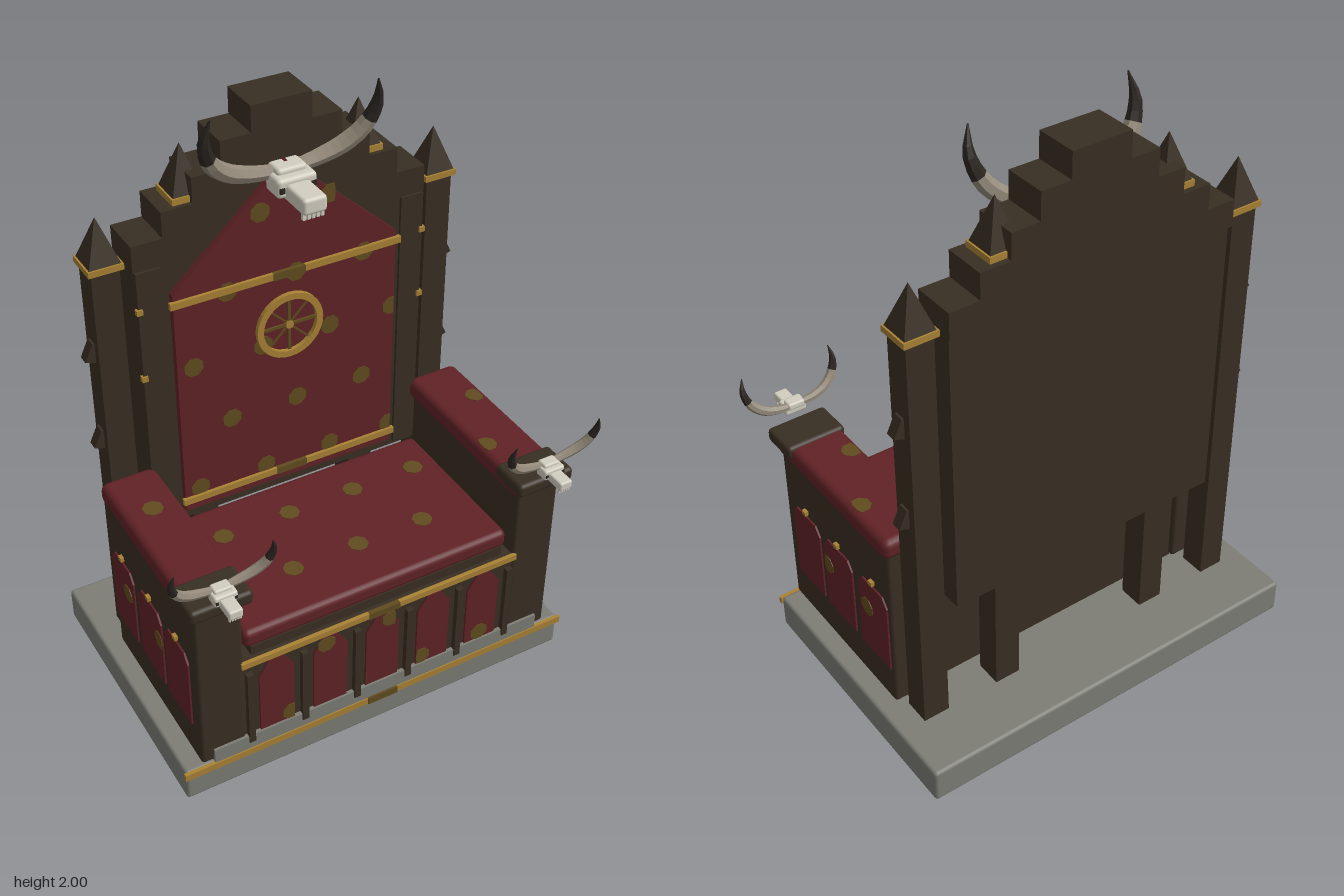
import * as THREE from 'three';
import { RoundedBoxGeometry } from 'three/addons/geometries/RoundedBoxGeometry.js';

const mat = (name, color) => {
  const m = new THREE.MeshStandardMaterial({ color });
  m.name = name;
  return m;
};

export function createModel() {
  const wood = mat('dark wood', 0x392f23), red = mat('red fabric', 0x602225);
  const gold = mat('gold trim', 0xa88234), olive = mat('dull gold', 0x604c1f);
  const stone = mat('grey stone', 0x7d7d76), bone = mat('bone', 0xd2cec0);
  const horn = mat('horn', 0x938979), tip = mat('horn tip', 0x2b2520);
  const root = new THREE.Group();
  root.name = 'throne';

  const add = (name, geo, m, parent = root) => {
    const mesh = new THREE.Mesh(geo, m);
    mesh.name = name;
    parent.add(mesh);
    return mesh;
  };
  // Box from its limits, optionally with softened edges
  const box = (name, m, x0, x1, y0, y1, z0, z1, bevel = 0, parent = root) => {
    const s = [x1 - x0, y1 - y0, z1 - z0];
    const geo = bevel ? new RoundedBoxGeometry(...s, 2, bevel) : new THREE.BoxGeometry(...s);
    const mesh = add(name, geo, m, parent);
    mesh.position.set((x0 + x1) / 2, (y0 + y1) / 2, (z0 + z1) / 2);
    return mesh;
  };
  const plate = (name, m, pts, depth, parent = root) => add(name, new THREE.ExtrudeGeometry(
    new THREE.Shape(pts.map((p) => new THREE.Vector2(...p))), { depth, bevelEnabled: false }), m, parent);
  // Octagonal spot trimmed to the rectangle it lies on
  const spot = (x, y, x0, x1, y0, y1, parent) => {
    const r = 0.034, cl = THREE.MathUtils.clamp;
    if (x - r > x1 - 0.004 || x + r < x0 + 0.004) return;
    const pts = [];
    for (let i = 0; i < 8; i++) {
      const a = (i + 0.5) * Math.PI / 4;
      pts.push([cl(x + r * Math.cos(a), x0, x1), cl(y + r * Math.sin(a), y0, y1)]);
    }
    plate('fabricSpot', olive, pts, 0.003, parent);
  };
  const plane = (x, y, z, rx = 0, ry = 0) => {
    const g = new THREE.Group();
    g.name = 'spots';
    g.position.set(x, y, z);
    g.rotation.set(rx, ry, 0);
    root.add(g);
    return g;
  };
  // Gold moulding with a dull middle
  const moulding = (w, y0, y1, z0, z1) => {
    box('goldMoulding', gold, -w, w, y0, y1, z0, z1);
    box('mouldingCentre', olive, -0.055, 0.055, y0 - 0.001, y1 + 0.001, z0, z1 + 0.003);
  };
  const rowA = [-0.33, -0.09, 0.148, 0.375], rowB = [-0.207, 0.028, 0.268];

  // Stone base and front step
  box('base', stone, -0.705, 0.705, 0, 0.12, -0.53, 0.41, 0.012);
  moulding(0.71, 0.095, 0.12, 0.405, 0.418);
  box('step', stone, -0.605, 0.605, 0.12, 0.175, 0.38, 0.414);

  // Seat
  box('seatBlock', wood, -0.495, 0.495, 0.12, 0.495, -0.2, 0.4);
  box('seatBoard', wood, -0.455, 0.455, 0.49, 0.53, -0.19, 0.385);
  box('seatCushion', red, -0.475, 0.475, 0.522, 0.587, -0.19, 0.385, 0.02);
  moulding(0.5, 0.476, 0.497, 0.4, 0.414);
  const seatSpots = plane(0, 0.586, 0, -Math.PI / 2);
  for (const x of [-0.33, -0.09, 0.148, 0.383]) spot(x, 0.04, -0.45, 0.45, -0.38, 0.17, seatSpots);
  for (const x of [-0.445, -0.207, 0.028, 0.268]) spot(x, -0.2, -0.45, 0.45, -0.38, 0.17, seatSpots);

  // Pointed panels and ribs on the seat front
  const frontSpots = plane(0, 0, 0.407);
  for (let i = -2; i <= 2; i++) {
    const x = i * 0.19, a = x - 0.06, b = x + 0.06;
    plate('frontPanel', red, [[a, 0.175], [b, 0.175], [b, 0.41], [x + 0.025, 0.465], [x - 0.025, 0.465], [a, 0.41]], 0.008)
      .position.z = 0.399;
    for (const s of rowA) spot(s, 0.205, a, b, 0.176, 0.4, frontSpots);
    for (const s of rowB) spot(s, 0.44, x - 0.045, x + 0.045, 0.4, 0.463, frontSpots);
  }
  for (const x of [-0.475, -0.285, -0.095, 0.095, 0.285, 0.475]) {
    box('frontRib', wood, x - 0.011, x + 0.011, 0.15, 0.445, 0.39, 0.419);
  }

  // Arms
  for (const s of [-1, 1]) {
    const arm = (name, m, a, b, y0, y1, z0, z1, r) =>
      box(name, m, Math.min(s * a, s * b), Math.max(s * a, s * b), y0, y1, z0, z1, r);
    arm('armBlock', wood, 0.49, 0.645, 0.125, 0.75, -0.22, 0.405, 0.012);
    arm('armCushion', red, 0.472, 0.66, 0.735, 0.805, -0.235, 0.41, 0.025);
    arm('armCap', wood, 0.465, 0.67, 0.765, 0.813, 0.305, 0.443, 0.014);
    const side = plane(s * 0.644, 0, 0, 0, s * Math.PI / 2);
    for (const [z0, z1] of [[0.19, 0.354], [-0.005, 0.164], [-0.206, -0.042]]) {
      const u0 = Math.min(-s * z0, -s * z1), u1 = Math.max(-s * z0, -s * z1);
      plate('sidePanel', red, [[u0, 0.265], [u1, 0.265], [u1, 0.52], [u1 - 0.025, 0.552], [u0 + 0.025, 0.552], [u0, 0.52]], 0.007, side);
      const zc = (z0 + z1) / 2;
      arm('sideStud', gold, 0.64, 0.657, 0.562, 0.578, zc - 0.01, zc + 0.01);
      const dots = new THREE.Group();
      dots.position.z = 0.006;
      side.add(dots);
      for (const z of [0.145, -0.09]) spot(-s * z, 0.445, u0, u1, 0.266, 0.55, dots);
    }
  }
  const armSpots = plane(0, 0.8035, 0, -Math.PI / 2);
  spot(-0.563, 0.04, -0.64, -0.49, -0.3, 0.2, armSpots);
  spot(0.62, 0.04, 0.49, 0.64, -0.3, 0.2, armSpots);
  spot(0.505, -0.2, 0.487, 0.64, -0.3, 0.2, armSpots);

  // Backrest with stepped crest
  box('backPanel', wood, -0.49, 0.49, 0.555, 1.54, -0.35, -0.22);
  const half = [0.495, 0.395, 0.295, 0.2, 0.1], tops = [1.62, 1.705, 1.79, 1.88, 1.965];
  half.forEach((w, i) => box('crestStep', wood, -w, w, i ? tops[i - 1] : 1.53, tops[i], -0.362, -0.218));
  for (const s of [-1, 1]) {
    box('backEdge', wood, s * 0.45 - 0.04, s * 0.45 + 0.04, 0.57, 1.53, -0.23, -0.21);
    for (const y of [1.4, 1.16]) box('edgeStud', gold, s * 0.487 - 0.01, s * 0.487 + 0.01, y - 0.009, y + 0.009, -0.22, -0.203);
  }
  plate('backCushion', red, [[-0.385, 0.6], [0.385, 0.6], [0.385, 1.43], [0, 1.78], [-0.385, 1.43]], 0.025).position.z = -0.222;
  const backSpots = plane(0, 0, -0.198);
  for (const y of [0.68, 1.155]) for (const x of rowA) spot(x, y, -0.384, 0.384, 0.6, 1.43, backSpots);
  for (const y of [0.915, 1.39]) for (const x of rowB) spot(x, y, -0.384, 0.384, 0.6, 1.43, backSpots);
  for (const x of [-0.09, 0.148]) spot(x, 1.63, -0.165, 0.165, 1.5, 1.66, backSpots);
  moulding(0.398, 1.388, 1.411, -0.2, -0.186);
  moulding(0.395, 0.632, 0.655, -0.2, -0.186);

  // Wheel emblem
  const wheel = new THREE.Group();
  wheel.name = 'wheelEmblem';
  wheel.position.set(0, 1.208, -0.2);
  root.add(wheel);
  const ring = new THREE.Shape().absarc(0, 0, 0.116, 0, Math.PI * 2);
  ring.holes.push(new THREE.Path().absarc(0, 0, 0.094, 0, Math.PI * 2, true));
  add('wheelRim', new THREE.ExtrudeGeometry(ring, { depth: 0.018, bevelEnabled: false, curveSegments: 16 }), gold, wheel);
  for (let i = 0; i < 4; i++) {
    const w = i % 2 ? 0.003 : 0.005;
    box('wheelSpoke', olive, -0.1, 0.1, -w, w, 0, 0.01 - (i % 2) * 0.002, 0, wheel).rotation.z = i * Math.PI / 4;
  }
  add('wheelHub', new THREE.CylinderGeometry(0.014, 0.014, 0.014, 8).rotateX(Math.PI / 2), gold, wheel).position.z = 0.007;

  // Square posts with collars and spires; the inner pair carries the back
  for (const s of [-1, 1]) {
    for (const [px, top, h] of [[0.568, 1.545, 0.14], [0.295, 1.705, 0.145]]) {
      const x = s * px, z = -0.288;
      box('post', wood, x - 0.045, x + 0.045, 0.12, top, z - 0.045, z + 0.045);
      box('postCollar', gold, x - 0.056, x + 0.056, top, top + 0.02, z - 0.056, z + 0.056);
      const spire = new THREE.ConeGeometry(0.05 * Math.SQRT2, h, 4, 1).rotateY(Math.PI / 4).toNonIndexed();
      spire.computeVertexNormals();
      add('spire', spire, wood).position.set(x, top + 0.02 + h / 2, z);
    }
    for (const y of [1.225, 0.9]) {
      const pts = s > 0 ? [[0, 0], [0.035, 0.012], [0.008, 0.07], [0, 0.07]] : [[0, 0], [0, 0.07], [-0.008, 0.07], [-0.035, 0.012]];
      plate('crocket', wood, pts, 0.036).position.set(s * 0.612, y, -0.306);
    }
  }

  // Horned skull; each horn is a tapering tube with a dark tip
  const skull = (x, y, z, scale) => {
    const g = new THREE.Group();
    g.name = 'hornedSkull';
    g.position.set(x, y, z);
    g.scale.setScalar(scale);
    root.add(g);
    box('snout', bone, -0.04, 0.04, -0.027, 0.027, 0.04, 0.18, 0.012, g);
    box('cranium', bone, -0.066, 0.066, -0.018, 0.045, -0.01, 0.075, 0.014, g);
    box('brow', bone, -0.05, 0.05, 0.02, 0.062, -0.025, 0.045, 0.012, g);
    for (let i = -2; i <= 2; i++) box('tooth', bone, i * 0.015 - 0.005, i * 0.015 + 0.005, -0.045, -0.02, 0.155, 0.167, 0, g);
    const N = 14, R = 7, dark = 9;
    const radii = [0.021, 0.026, 0.029, 0.027, 0.019, 0.002];
    for (const s of [-1, 1]) {
      box('eyeSocket', tip, s * 0.052 - 0.008, s * 0.052 + 0.008, 0.002, 0.02, 0.07, 0.078, 0, g);
      const curve = new THREE.CatmullRomCurve3([[0.035, 0.037, 0], [0.11, 0.046, -0.002], [0.19, 0.073, 0.006],
        [0.25, 0.125, 0.024], [0.281, 0.205, 0.046], [0.268, 0.287, 0.068]]
        .map((p) => new THREE.Vector3(s * p[0], p[1], p[2])));
      let geo = new THREE.TubeGeometry(curve, N, 1, R);
      const pos = geo.attributes.position, v = new THREE.Vector3();
      for (let i = 0; i <= N; i++) {
        const c = curve.getPointAt(i / N), t = (i / N) * 5, k = Math.min(4, Math.floor(t));
        const r = THREE.MathUtils.lerp(radii[k], radii[k + 1], t - k);
        for (let j = 0; j <= R; j++) {
          const n = i * (R + 1) + j;
          v.fromBufferAttribute(pos, n).sub(c).multiplyScalar(r).add(c);
          pos.setXYZ(n, v.x, v.y, v.z);
        }
      }
      geo.addGroup(0, dark * R * 6, 0);
      geo.addGroup(dark * R * 6, (N - dark) * R * 6, 1);
      geo = geo.toNonIndexed();
      geo.computeVertexNormals();
      add('horn', geo, [horn, tip], g);
    }
  };
  skull(0, 1.713, -0.2, 1);
  skull(-0.568, 0.847, 0.433, 0.57);
  skull(0.568, 0.847, 0.433, 0.57);
  return root;
}
